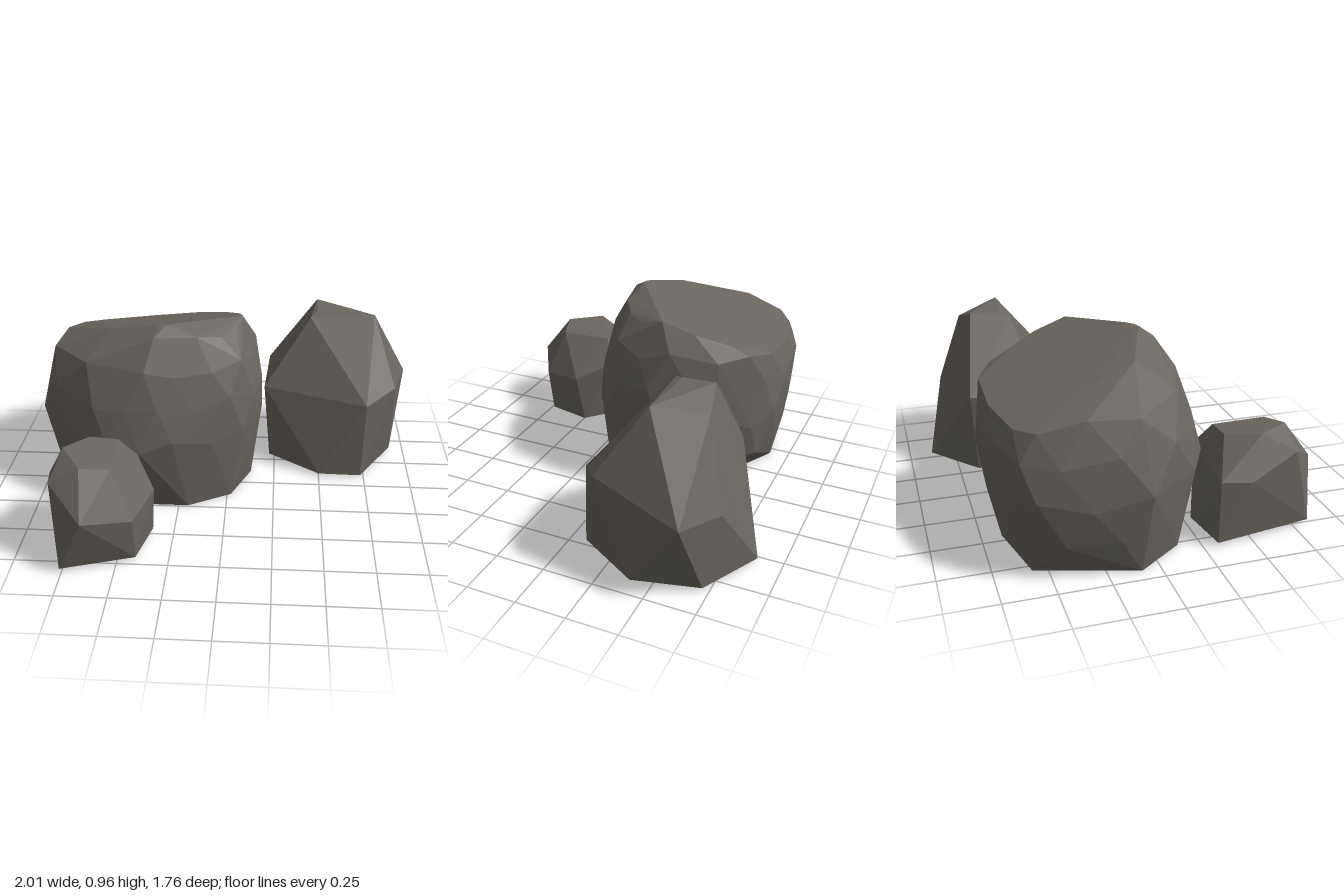
import * as THREE from 'three';
import { ConvexGeometry } from 'three/addons/geometries/ConvexGeometry.js';

const stone = new THREE.MeshStandardMaterial({ color: 0x6b665d, flatShading: true });
stone.name = 'grey brown stone';

const V = (x, y, z) => new THREE.Vector3(x, y, z);

// Flat base polygon of a rock at height y, from [x, z] corners
const base = (y, corners) => corners.map(([x, z]) => V(x, y, z));

// A faceted rock wrapped around its corner points
function rock(name, points) {
  const mesh = new THREE.Mesh(new ConvexGeometry(points), stone);
  mesh.name = name;
  return mesh;
}

// Boulder: stacked, staggered rings of one outline, cut by a sloping top plane
function boulderPoints() {
  const outline = new THREE.CatmullRomCurve3([
    [-1, -0.07], [-0.98, -0.33], [-0.93, -0.57], [-0.8, -0.66], [-0.5, -0.72], [-0.2, -0.72],
    [-0.05, -0.64], [0.08, -0.5], [0.17, -0.24], [0.16, -0.05], [0.09, 0.11], [-0.07, 0.22],
    [-0.27, 0.3], [-0.43, 0.325], [-0.6, 0.3], [-0.77, 0.21],
  ].map(([x, z]) => V((x + 0.415) / 0.585, 0, (z + 0.2) / 0.525)), true);
  // height, then x and z extents of each ring
  const rings = [
    [0.19, -0.965, 0.145, -0.685, 0.29],
    [0.39, -1.0, 0.17, -0.725, 0.33],
    [0.58, -0.98, 0.165, -0.72, 0.3],
    [0.75, -0.925, 0.14, -0.685, 0.24],
    [0.89, -0.66, 0.06, -0.6, 0.14],
    [0.96, -0.42, -0.2, -0.4, 0.08],
  ];
  const points = base(0, [
    [0.12, -0.12], [0.075, -0.37], [-0.45, -0.65], [-0.79, -0.57], [-0.93, -0.09],
    [-0.77, 0.14], [-0.52, 0.24], [-0.2, 0.24], [0.02, 0.12],
  ]);
  const n = 16;
  rings.forEach(([y, x0, x1, z0, z1], k) => {
    for (let i = 0; i < n; i++) {
      const p = outline.getPoint(((i + ((k + 1) % 2) / 2) / n) % 1);
      const wobble = 1 + 0.012 * Math.sin(i * 5.3 + k * 2.1);
      const x = (x0 + x1) / 2 + p.x * wobble * (x1 - x0) / 2;
      const z = (z0 + z1) / 2 + p.z * wobble * (z1 - z0) / 2;
      const lift = k < 5 ? 0.03 * Math.sin(i * 3.7 + k) : 0;
      const top = 0.965 + 0.1 * (x + 0.32) + 0.33 * (z - 0.07);
      points.push(V(x, Math.min(y + lift, top), z));
    }
  });
  return points;
}

export function createModel() {
  const model = new THREE.Group();
  model.name = 'rocks';

  model.add(rock('boulder', boulderPoints()));

  model.add(rock('tallRock', [
    // crown
    V(0.78, 0.835, -0.43), V(0.47, 0.848, -0.62), V(0.65, 0.785, -0.66),
    V(0.43, 0.82, -0.41), V(0.47, 0.84, -0.46),
    // shoulders
    V(1.0, 0.4, -0.66), V(0.895, 0.5, -0.21), V(0.74, 0.44, -0.1),
    V(0.185, 0.45, -0.29), V(0.21, 0.46, -0.68), V(0.78, 0.38, -0.775),
    ...base(0.015, [
      [0.22, -0.29], [0.5, -0.09], [0.73, -0.085], [0.92, -0.4],
      [0.84, -0.72], [0.53, -0.88], [0.26, -0.65],
    ]),
  ]));

  model.add(rock('smallRock', [
    // crown
    V(-0.65, 0.515, 0.72), V(-0.51, 0.49, 0.68), V(-0.76, 0.525, 0.55),
    V(-0.52, 0.49, 0.4), V(-0.66, 0.5, 0.4),
    // shoulders
    V(-0.63, 0.31, 0.878), V(-0.41, 0.25, 0.75), V(-0.335, 0.28, 0.52), V(-0.44, 0.37, 0.34),
    V(-0.58, 0.37, 0.32), V(-0.84, 0.34, 0.32), V(-0.86, 0.33, 0.47), V(-0.8, 0.43, 0.72),
    ...base(0.02, [
      [-0.76, 0.83], [-0.41, 0.72], [-0.355, 0.48], [-0.58, 0.28], [-0.84, 0.32],
    ]),
  ]));

  return model;
}
